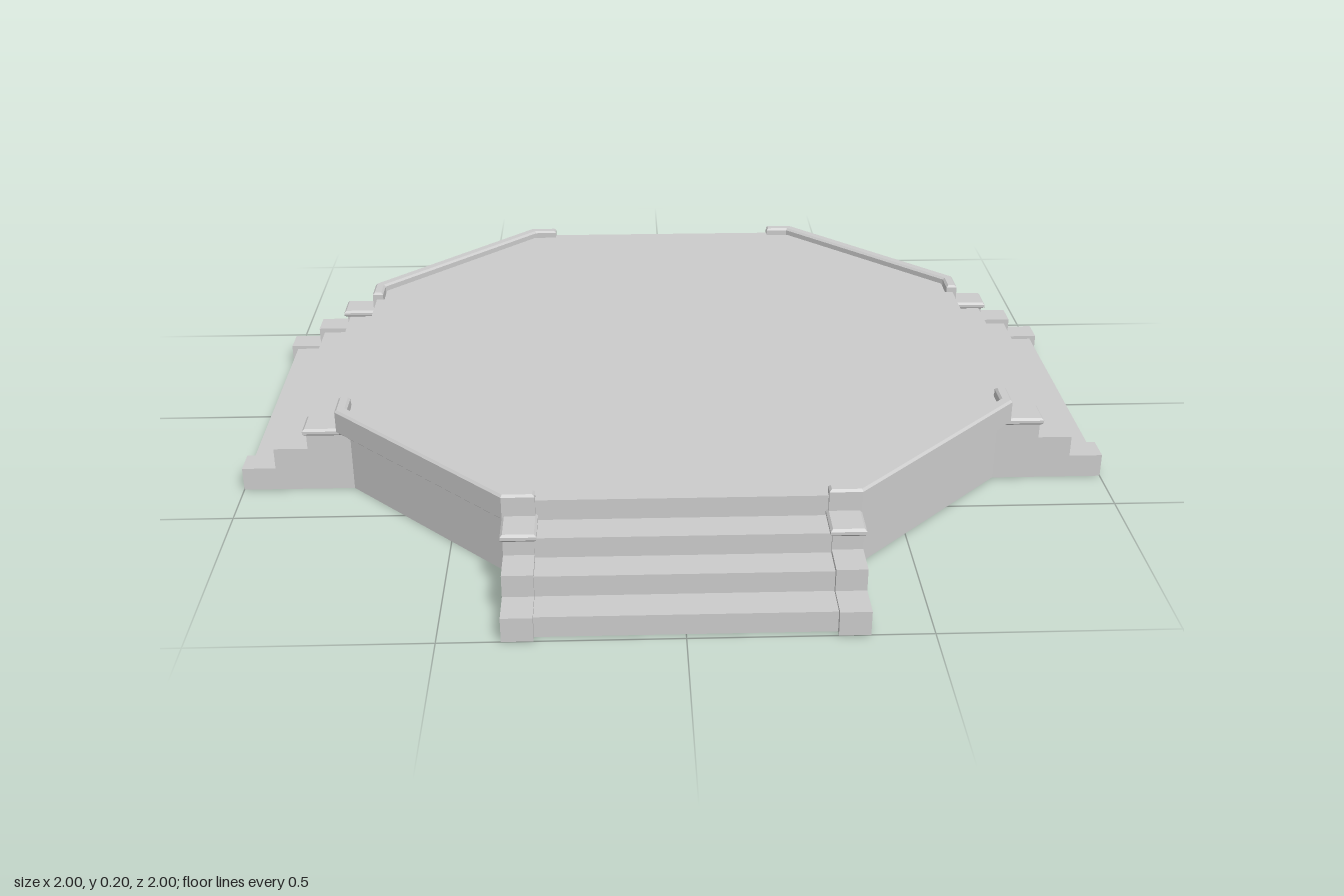
import * as THREE from 'three';

const material = new THREE.MeshStandardMaterial({ color: 0xcccccc, flatShading: true });
const HALF = 0.305;   // half width of the stair opening
const OUTER = 0.37;   // outer face of the cheek walls

function mesh(name, geometry) {
  const m = new THREE.Mesh(geometry, material);
  m.name = name;
  return m;
}

// Plan outline of [x, z] points raised from y0 to y1, with an optional small chamfer
function slab(points, y0, y1, bevel = 0) {
  const shape = new THREE.Shape(points.map(([x, z]) => new THREE.Vector2(x, -z)));
  const g = new THREE.ExtrudeGeometry(shape, {
    depth: y1 - y0 - 2 * bevel, bevelEnabled: bevel > 0, bevelSegments: 1,
    bevelThickness: bevel, bevelSize: bevel, bevelOffset: -bevel,
  });
  return g.rotateX(-Math.PI / 2).translate(0, y0 + bevel, 0);
}

// Stepped side profile, extruded across x; steps are [front z, top y] from the bottom up
function stepped(steps, back, x0, x1) {
  const pts = [[back, 0], [steps[0][0], 0]];
  steps.forEach(([z, y], i) => {
    pts.push([z, y], [i + 1 < steps.length ? steps[i + 1][0] : back, y]);
  });
  const shape = new THREE.Shape(pts.map(([z, y]) => new THREE.Vector2(z, y)));
  const g = new THREE.ExtrudeGeometry(shape, { depth: x1 - x0, bevelEnabled: false });
  return g.rotateY(-Math.PI / 2).translate(x1, 0, 0);
}

export function createModel() {
  const model = new THREE.Group();
  model.name = 'octagonalPlatform';

  // Octagonal body, whose floor reaches forward between the cheek walls on four sides
  const side = [[-OUTER, 0.745], [-HALF, 0.745], [-HALF, 0.765],
    [HALF, 0.765], [HALF, 0.745], [OUTER, 0.745]];
  const outline = [];
  for (let i = 0; i < 4; i++) {
    const c = Math.round(Math.cos(i * Math.PI / 2)), s = Math.round(Math.sin(i * Math.PI / 2));
    side.forEach(([x, z]) => outline.push([x * c + z * s, z * c - x * s]));
  }
  model.add(mesh('platformBody', slab(outline, 0, 0.187)));

  for (let i = 0; i < 4; i++) {
    const quarter = new THREE.Group();
    quarter.name = 'quarter' + (i + 1);
    quarter.rotation.y = i * Math.PI / 2;

    // Flight of three steps
    quarter.add(mesh('steps',
      stepped([[0.985, 0.047], [0.91, 0.094], [0.838, 0.14]], 0.74, -HALF, HALF)));

    // Stepped cheek walls, each with a slightly proud cap on its top block
    for (const s of [-1, 1]) {
      const a = Math.min(s * HALF, s * OUTER), b = Math.max(s * HALF, s * OUTER);
      quarter.add(mesh('cheekWall',
        stepped([[1, 0.055], [0.923, 0.105], [0.845, 0.15]], 0.735, a, b)));
      const l = a - 0.005, r = b + 0.005;
      quarter.add(mesh('cheekCap',
        slab([[l, 0.75], [l, 0.853], [r, 0.853], [r, 0.75]], 0.139, 0.156, 0.005)));
    }

    // Raised rim on the diagonal side, returning to the stair openings
    quarter.add(mesh('rim', slab([
      [HALF, 0.775], [0.375, 0.775], [0.775, 0.375], [0.775, HALF],
      [0.748, HALF], [0.748, 0.362], [0.362, 0.748], [HALF, 0.748],
    ], 0.145, 0.205, 0.005)));

    model.add(quarter);
  }
  return model;
}
